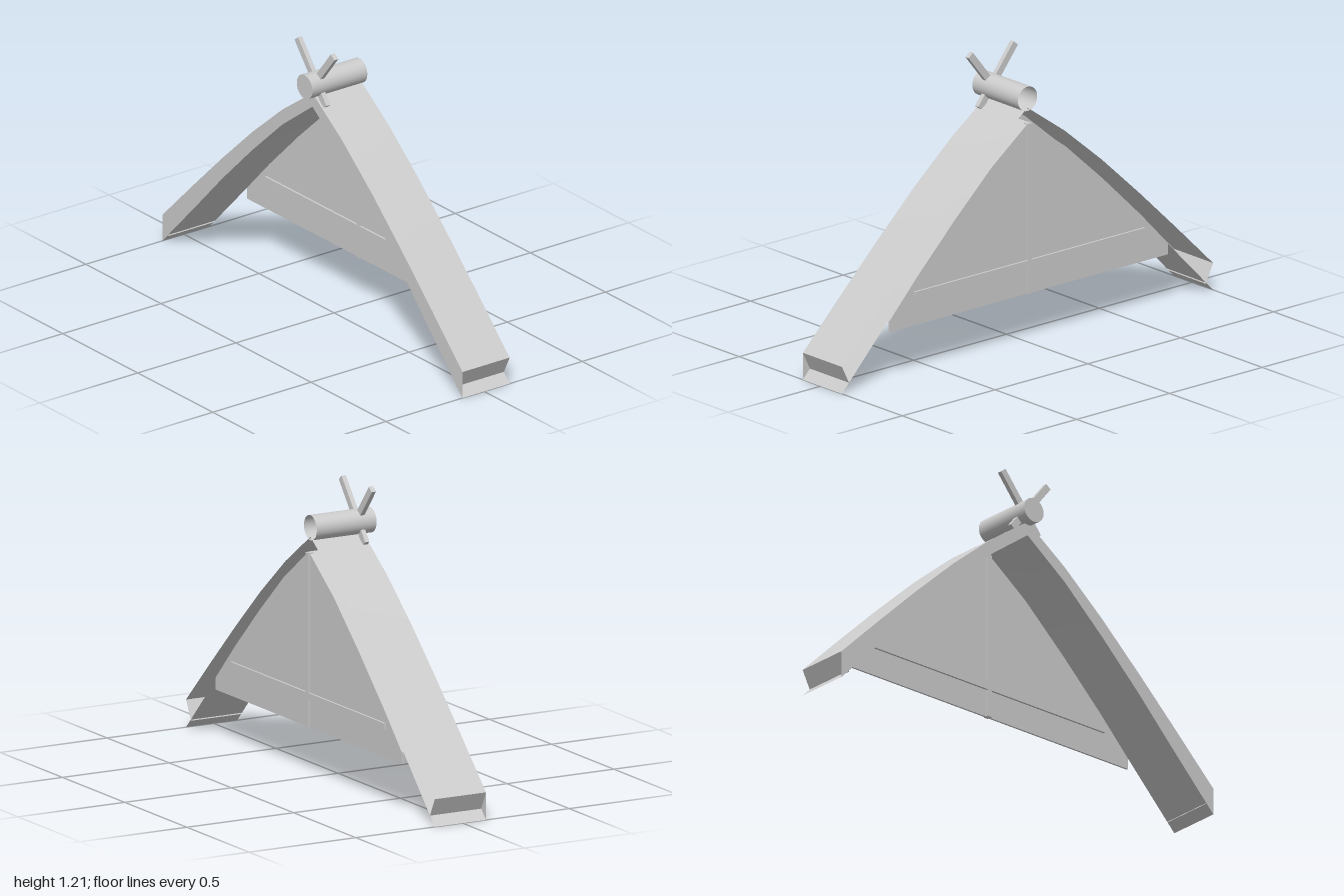
import * as THREE from 'three';

const solid = new THREE.MeshStandardMaterial({ color: 0xcccccc });
const thin = new THREE.MeshStandardMaterial({ color: 0xcccccc, side: THREE.DoubleSide });
const X0 = -0.11, X1 = 0.13;

// Half profiles as [z, y], from ridge to eave
const outer = [[0, 1], [0.2, 0.858], [0.4, 0.69], [0.6, 0.505], [0.8, 0.312], [1, 0.115]];
const inner = [[0, 0.94], [0.2, 0.792], [0.4, 0.61], [0.6, 0.415], [0.75, 0.258], [1, 0]];
const eave = [[1, 0.115], [0.96, 0.035]];

// Thin sheet that carries a profile across the width; side is +1 or -1 in z
function sheet(profile, side) {
  const pos = [], idx = [];
  profile.forEach(([z, y], i) => {
    pos.push(X0, y, z * side, X1, y, z * side);
    if (i === 0) return;
    const a = 2 * i - 2;
    if (side > 0) idx.push(a, a + 2, a + 1, a + 1, a + 2, a + 3);
    else idx.push(a, a + 1, a + 2, a + 1, a + 3, a + 2);
  });
  const g = new THREE.BufferGeometry();
  g.setAttribute('position', new THREE.Float32BufferAttribute(pos, 3));
  g.setIndex(idx);
  g.computeVertexNormals();
  return g;
}

// Closed shape in the z-y plane
function shapeOf(points) {
  return new THREE.Shape(points.map(([z, y]) => new THREE.Vector2(z, y)));
}

// Both halves of a profile, running from one eave to the other
function mirrored(profile) {
  return [...profile.slice(1).reverse().map(([z, y]) => [-z, y]), ...profile];
}

export function createModel() {
  const group = new THREE.Group();
  const add = (name, geometry, material = solid, x = 0, y = 0, z = 0) => {
    const mesh = new THREE.Mesh(geometry, material);
    mesh.name = name;
    mesh.position.set(x, y, z);
    group.add(mesh);
    return mesh;
  };

  // Two hollow roof slopes, open towards the gable
  for (const side of [1, -1]) {
    const end = side > 0 ? 'front' : 'back';
    add(end + 'RoofTop', sheet(outer, side), thin);
    add(end + 'RoofUnderside', sheet(inner, side), thin);
    add(end + 'EaveEnd', sheet(eave, side), thin);
  }

  // Flat cap that closes the roof on the far side
  const cap = new THREE.ShapeGeometry(shapeOf([...mirrored(outer), ...mirrored(inner).reverse()]));
  add('roofSideCap', cap.rotateY(-Math.PI / 2), thin, X0);

  // Gable wall beneath the roof
  const gable = new THREE.ExtrudeGeometry(
    shapeOf([[-0.75, 0.21], [0.75, 0.21], ...mirrored(inner.slice(0, 5)).reverse()]),
    { depth: 0.008, bevelEnabled: false });
  add('gableWall', gable.rotateY(-Math.PI / 2), solid, 0.138);

  // Post and beam show on both faces of the wall
  add('gablePost', new THREE.BoxGeometry(0.024, 0.725, 0.022), solid, 0.134, 0.574);
  add('gableBeam', new THREE.BoxGeometry(0.026, 0.025, 1.24), solid, 0.134, 0.342);

  // Ridge log: closed on one end, open at the gable
  const log = new THREE.CylinderGeometry(0.052, 0.052, 0.28, 32, 1, true);
  add('ridgeLog', log.rotateZ(Math.PI / 2), thin, -0.01, 1.038);
  add('ridgeLogEnd', new THREE.CircleGeometry(0.052, 32).rotateY(-Math.PI / 2), thin, -0.15, 1.038);

  // Crossed finials over the ridge
  for (const side of [1, -1]) {
    const stick = add(side > 0 ? 'frontFinial' : 'backFinial',
      new THREE.BoxGeometry(0.02, 0.305, 0.03), solid, -0.09, 1.078, 0.026 * side);
    stick.rotation.x = side * Math.atan2(0.188, 0.235);
  }
  return group;
}
